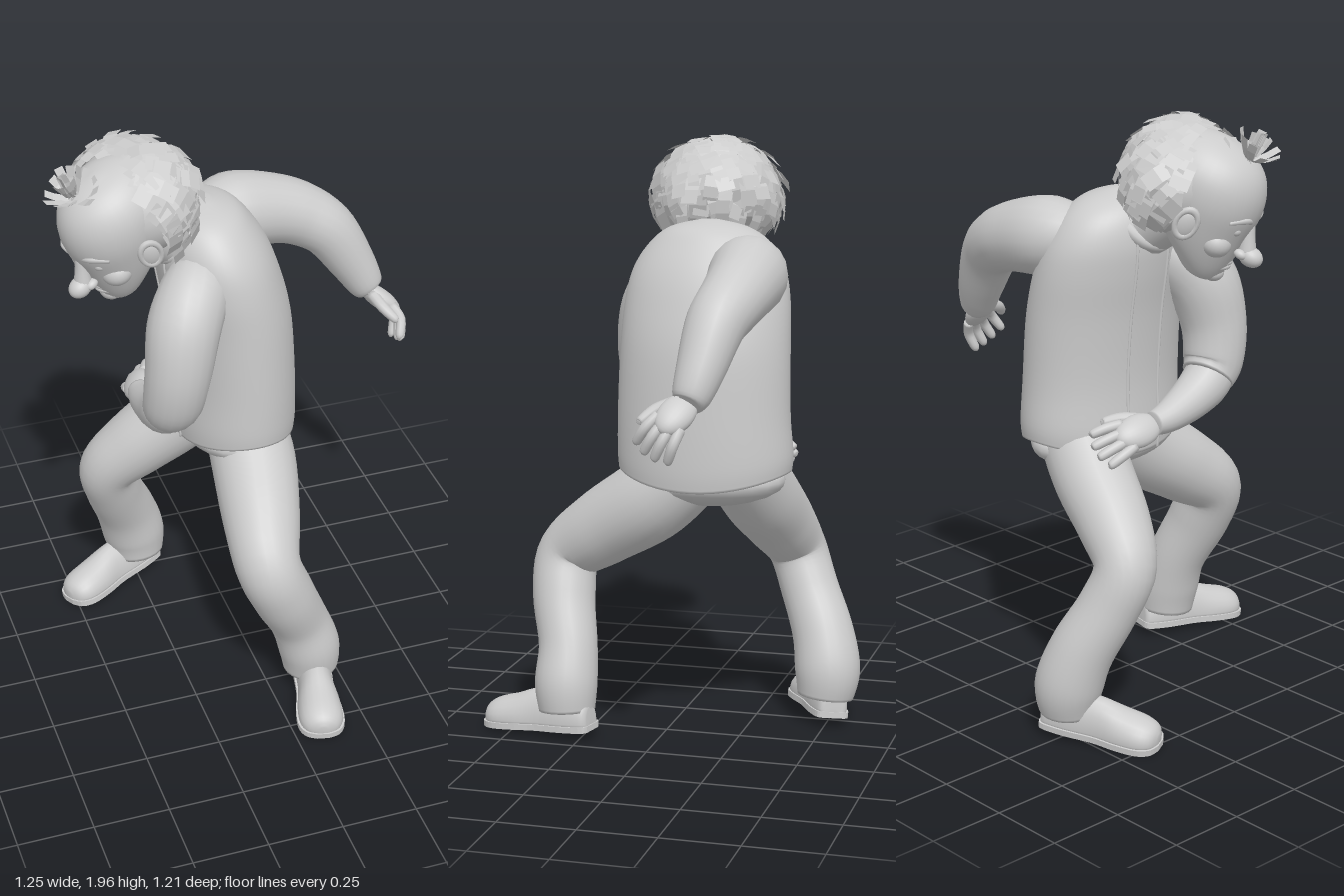
import * as THREE from 'three';
import { mergeGeometries } from 'three/addons/utils/BufferGeometryUtils.js';

const V = (x, y, z) => new THREE.Vector3(x, y, z);
const grey = new THREE.MeshStandardMaterial({ color: 0xcccccc });
const thin = new THREE.MeshStandardMaterial({ color: 0xcccccc, side: THREE.DoubleSide });

// small seeded random
let seed = 7;
const rnd = () => (seed = (seed * 16807) % 2147483647) / 2147483647;
const jit = (a) => (rnd() - 0.5) * 2 * a;

function add(parent, name, geo, mat = grey) {
  const m = new THREE.Mesh(geo, mat);
  m.name = name;
  parent.add(m);
  return m;
}

// spline through every column of a small table
function resample(table, n) {
  const cols = table[0].map((_, c) => new THREE.SplineCurve(table.map((r, i) => new THREE.Vector2(i, r[c]))));
  return Array.from({ length: n + 1 }, (_, i) => cols.map((s) => s.getPoint(i / n).y));
}

// closed skin over rows of points
function skin(rows) {
  const n = rows[0].length, pts = rows.flat(), idx = [];
  for (let i = 0; i < rows.length - 1; i++) {
    for (let j = 0; j < n; j++) {
      const k = (j + 1) % n, a = i * n;
      idx.push(a + j, a + k, a + n + j, a + k, a + n + k, a + n + j);
    }
  }
  [0, rows.length - 1].forEach((r, end) => {
    const mid = pts.length;
    pts.push(rows[r].reduce((s, p) => s.add(p), V(0, 0, 0)).divideScalar(n));
    for (let j = 0; j < n; j++) {
      const a = r * n + j, b = r * n + (j + 1) % n;
      idx.push(mid, end ? a : b, end ? b : a);
    }
  });
  const g = new THREE.BufferGeometry().setFromPoints(pts);
  g.setIndex(idx);
  g.computeVertexNormals();
  return g;
}

// round limb through rows of [x, y, z, radius]
function limb(table, ref = V(1, 0, 0), n = 24, seg = 20) {
  const r = resample(table, n);
  return skin(r.map((p, i) => {
    const a = r[Math.max(0, i - 1)], b = r[Math.min(n, i + 1)];
    const t = V(b[0] - a[0], b[1] - a[1], b[2] - a[2]).normalize();
    const u = ref.clone().cross(t).normalize(), v = t.clone().cross(u);
    return Array.from({ length: seg }, (_, j) => {
      const q = j / seg * Math.PI * 2;
      return V(p[0], p[1], p[2]).addScaledVector(u, p[3] * Math.cos(q)).addScaledVector(v, p[3] * Math.sin(q));
    });
  }));
}

// stacked horizontal ovals from rows of [y, cx, cz, rx, rz]
function stack(table, n, seg, lift = () => 0) {
  return skin(resample(table, n).map(([y, cx, cz, rx, rz]) => Array.from({ length: seg }, (_, j) => {
    const q = j / seg * Math.PI * 2;
    return V(cx + rx * Math.sin(q), y + lift(y, q), cz + rz * Math.cos(q));
  })));
}

function ball(parent, name, p, s) {
  const m = add(parent, name, new THREE.SphereGeometry(1, 24, 16));
  m.position.set(...p);
  m.scale.set(...s);
  return m;
}

// hand pointing along dir, thumb on its -x side
function hand(name, pos, dir, palm, curl) {
  const g = new THREE.Group();
  g.name = name;
  const y = dir.normalize(), x = y.clone().cross(palm).normalize(), z = x.clone().cross(y);
  g.quaternion.setFromRotationMatrix(new THREE.Matrix4().makeBasis(x, y, z));
  g.position.copy(pos);
  g.scale.setScalar(1.2);
  ball(g, 'palm', [0, 0.06, 0], [0.046, 0.068, 0.028]);
  for (let i = 0; i < 4; i++) {
    const o = (i - 1.5) * 0.023, l = i === 0 || i === 3 ? 0.85 : 1;
    const tip = 0.09 + 0.1 * l * (1 - curl * 4);
    add(g, 'finger', limb([[o, 0.09, 0, 0.014], [o * 1.25, 0.09 + 0.05 * l, curl * 0.3, 0.014],
      [o * 1.4, tip, curl, 0.012], [o * 1.4, tip + 0.007, curl * 1.1, 0.004]], V(1, 0, 0), 12, 10));
  }
  add(g, 'thumb', limb([[-0.025, 0.03, 0.005, 0.017], [-0.055, 0.07, 0.02, 0.016],
    [-0.068, 0.115, 0.028, 0.012], [-0.069, 0.122, 0.028, 0.004]], V(0, 0, 1), 12, 10));
  return g;
}

function shoe(name, x, z, yaw, roll) {
  const g = new THREE.Group();
  g.name = name;
  // rows of [z, half width, height]
  const rows = resample([[-0.19, 0.03, 0.06], [-0.175, 0.05, 0.09], [-0.1, 0.06, 0.115], [0, 0.06, 0.115],
    [0.08, 0.072, 0.092], [0.15, 0.073, 0.075], [0.19, 0.052, 0.055], [0.205, 0.015, 0.03]], 24);
  add(g, 'shoeUpper', skin(rows.map(([l, w, h]) => Array.from({ length: 20 }, (_, j) => {
    const q = j / 20 * Math.PI * 2;
    return V(w * Math.cos(q), Math.max(0.015, 0.03 + (h - 0.01) * Math.sin(q)), l);
  }))));
  const edge = rows.map(([l, w]) => new THREE.Vector2(w + 0.005, l * 1.02));
  const outline = [...edge, ...edge.slice().reverse().map((p) => new THREE.Vector2(-p.x, p.y))];
  const sole = new THREE.ExtrudeGeometry(new THREE.Shape(outline), { depth: 0.02, bevelEnabled: false });
  add(g, 'sole', sole.rotateX(Math.PI / 2).translate(0, 0.023, 0));
  g.position.set(x, 0.018, z);
  g.rotation.set(0.07, yaw, roll, 'YXZ');
  return g;
}

function makeHead() {
  const h = new THREE.Group();
  h.name = 'head';
  h.position.set(-0.38, 1.71, -0.06);
  h.rotation.set(0.45, -1.14, 0, 'YXZ');
  add(h, 'skull', stack([[-0.222, 0, 0.1, 0.02, 0.02], [-0.208, 0, 0.1, 0.06, 0.055], [-0.175, 0, 0.085, 0.088, 0.085],
    [-0.12, 0, 0.055, 0.118, 0.125], [-0.05, 0, 0.03, 0.142, 0.158], [0.03, 0, 0.012, 0.158, 0.183],
    [0.1, 0, 0, 0.152, 0.182], [0.155, 0, 0, 0.12, 0.148], [0.19, 0, 0, 0.072, 0.092], [0.205, 0, 0, 0.015, 0.015]], 36, 32));
  // nose
  add(h, 'noseBridge', limb([[0, 0.02, 0.178, 0.012], [0, -0.03, 0.19, 0.021], [0, -0.08, 0.21, 0.03]], V(1, 0, 0), 8, 12));
  ball(h, 'noseTip', [0, -0.085, 0.225], [0.034, 0.031, 0.04]);
  // mouth
  for (const [y, r] of [[-0.136, 0.008], [-0.151, 0.009]]) {
    add(h, 'lip', limb([[-0.05, y - 0.008, 0.155, 0.003], [0, y, 0.174, r], [0.05, y - 0.008, 0.155, 0.003]], V(0, 1, 0), 12, 8));
  }
  ball(h, 'chin', [0, -0.188, 0.14], [0.042, 0.03, 0.035]);
  for (const s of [-1, 1]) {
    ball(h, 'nostril', [s * 0.026, -0.085, 0.198], [0.017, 0.015, 0.022]);
    ball(h, 'cheek', [s * 0.07, -0.075, 0.122], [0.052, 0.045, 0.05]);
    ball(h, 'eye', [s * 0.06, -0.012, 0.16], [0.024, 0.018, 0.018]);
    add(h, 'brow', limb([[s * 0.025, 0.02, 0.186, 0.006], [s * 0.062, 0.032, 0.176, 0.011],
      [s * 0.108, 0.015, 0.143, 0.006]], V(0, 1, 0), 10, 8));
    // ears
    ball(h, 'ear', [s * 0.155, -0.04, 0.035], [0.018, 0.05, 0.034]).rotation.y = s * -0.4;
    const rim = add(h, 'earRim', new THREE.TorusGeometry(0.032, 0.009, 8, 20));
    rim.position.set(s * 0.163, -0.035, 0.035);
    rim.rotation.y = Math.PI / 2 - s * 0.4;
    rim.scale.y = 1.4;
  }
  // ring of hair strips round the back and sides
  ball(h, 'hairBase', [0, 0.02, -0.065], [0.185, 0.17, 0.165]);
  const dummy = new THREE.Object3D(), strips = [];
  const strip = (w, l, bend) => {
    const g = new THREE.PlaneGeometry(w, l, 1, 3), p = g.attributes.position;
    for (let i = 0; i < p.count; i++) p.setZ(i, -bend * (p.getY(i) / l) ** 2);
    return g;
  };
  for (let k = 0; k < 8; k++) {
    const el = -0.6 + k * 0.225, span = k > 5 ? 1.4 : 1.65;
    const count = Math.round(21 * Math.cos(el) + 3);
    for (let i = 0; i < count; i++) {
      const az = span * (2 * i / (count - 1) - 1) + jit(0.08), e = el + jit(0.1), r = 1.03 + jit(0.06);
      const d = V(Math.sin(az) * Math.cos(e), Math.sin(e), -Math.cos(az) * Math.cos(e));
      dummy.position.set(d.x * 0.21 * r, 0.025 + d.y * 0.185 * r, -0.06 + d.z * 0.195 * r);
      dummy.lookAt(dummy.position.clone().add(d));
      dummy.rotateZ(jit(0.35));
      dummy.rotateX(-0.15 + jit(0.3));
      dummy.updateMatrix();
      strips.push(strip(0.05 + jit(0.012), 0.125 + jit(0.025), 0.06).applyMatrix4(dummy.matrix));
    }
  }
  add(h, 'sideHair', mergeGeometries(strips).toNonIndexed(), thin).geometry.computeVertexNormals();
  // tuft above the forehead
  const tuft = [];
  for (let i = 0; i < 22; i++) {
    dummy.position.set(-0.02, 0.175, 0.09);
    dummy.rotation.set(0, 0, 0);
    dummy.rotateY(i * 2.4);
    dummy.rotateX(0.15 + 1.1 * ((i % 5) / 4));
    dummy.updateMatrix();
    tuft.push(strip(0.028, 0.1 + jit(0.02), 0.03).translate(0, 0.052, 0).applyMatrix4(dummy.matrix));
  }
  add(h, 'foreheadTuft', mergeGeometries(tuft).toNonIndexed(), thin).geometry.computeVertexNormals();
  return h;
}

export function createModel() {
  const g = new THREE.Group();
  g.name = 'walkingMan';
  // jacket with an arched hem
  const body = [[0.855, 0, -0.13, 0.2, 0.287], [0.93, 0, -0.13, 0.205, 0.291], [1.1, 0, -0.125, 0.2, 0.285],
    [1.3, -0.015, -0.125, 0.2, 0.28], [1.45, -0.045, -0.125, 0.193, 0.272], [1.55, -0.068, -0.125, 0.178, 0.25],
    [1.63, -0.085, -0.125, 0.145, 0.2], [1.68, -0.09, -0.12, 0.1, 0.13], [1.705, -0.09, -0.12, 0.02, 0.03]];
  const hem = (y, q) => 0.05 * Math.max(0, 1 - (y - 0.855) / 0.2) * Math.cos(q) ** 2;
  add(g, 'jacket', stack(body, 40, 48, hem));
  for (const z of [-0.06, -0.19]) {
    const line = body.slice(0, 7).map(([y, cx, cz, rx, rz]) => [cx - rx * Math.sqrt(1 - ((z - cz) / rz) ** 2), y, z, 0.005]);
    add(g, 'jacketFrontEdge', limb(line, V(0, 0, 1), 20, 8));
  }
  const collar = add(g, 'collar', new THREE.TorusGeometry(0.095, 0.02, 10, 32));
  collar.position.set(-0.19, 1.61, -0.11);
  collar.lookAt(-0.45, 1.85, -0.07);
  add(g, 'neck', limb([[-0.12, 1.55, -0.115, 0.105], [-0.22, 1.61, -0.1, 0.095], [-0.33, 1.68, -0.075, 0.095]], V(0, 0, 1), 10));
  g.add(makeHead());

  // outstretched right arm
  add(g, 'rightArm', limb([[-0.04, 1.55, -0.25, 0.1], [0.06, 1.545, -0.285, 0.127], [0.2, 1.52, -0.295, 0.116],
    [0.3, 1.485, -0.285, 0.105], [0.385, 1.425, -0.26, 0.094], [0.465, 1.3, -0.235, 0.076],
    [0.51, 1.215, -0.215, 0.058], [0.52, 1.2, -0.21, 0.035]], V(0, 0, 1), 32));
  g.add(hand('rightHand', V(0.495, 1.215, -0.21), V(0.13, -0.105, 0.075), V(-0.6, -0.7, 0.3), 0.055));
  // left arm folded across the front
  add(g, 'leftSleeve', limb([[-0.1, 1.52, -0.03, 0.075], [-0.16, 1.485, 0.035, 0.108], [-0.225, 1.39, 0.1, 0.117],
    [-0.255, 1.25, 0.13, 0.107], [-0.27, 1.13, 0.115, 0.098], [-0.28, 1.08, 0.08, 0.085]], V(1, 0, 0), 28));
  add(g, 'leftForearm', limb([[-0.265, 1.16, 0.13, 0.06], [-0.28, 1.08, 0.085, 0.08], [-0.29, 1.03, 0, 0.07],
    [-0.3, 0.995, -0.11, 0.052], [-0.3, 0.985, -0.18, 0.038]], V(1, 0, 0), 24));
  g.add(hand('leftHand', V(-0.3, 0.985, -0.165), V(0.03, -0.04, -0.2), V(0.7, -0.7, 0), 0.02));

  // trousers
  ball(g, 'hips', [-0.01, 0.87, -0.13], [0.18, 0.09, 0.265]);
  add(g, 'leftTrouserLeg', limb([[0.02, 0.9, -0.08, 0.13], [0.02, 0.79, 0.05, 0.14], [-0.01, 0.68, 0.22, 0.128],
    [-0.03, 0.58, 0.345, 0.108], [0.02, 0.45, 0.35, 0.105], [0.09, 0.3, 0.315, 0.098], [0.13, 0.18, 0.31, 0.104], [0.14, 0.09, 0.305, 0.094]], V(1, 0, 0), 40, 24));
  add(g, 'rightTrouserLeg', limb([[-0.03, 0.9, -0.25, 0.13], [-0.14, 0.79, -0.285, 0.13], [-0.27, 0.68, -0.32, 0.118],
    [-0.365, 0.57, -0.36, 0.1], [-0.34, 0.44, -0.41, 0.098], [-0.285, 0.3, -0.47, 0.104], [-0.25, 0.18, -0.495, 0.11], [-0.24, 0.09, -0.49, 0.095]], V(0, 0, 1), 40, 24));

  // shoes
  g.add(shoe('leftShoe', 0.128, 0.395, -0.22, 0));
  g.add(shoe('rightShoe', -0.34, -0.45, -1.13, 0.1));
  return g;
}
